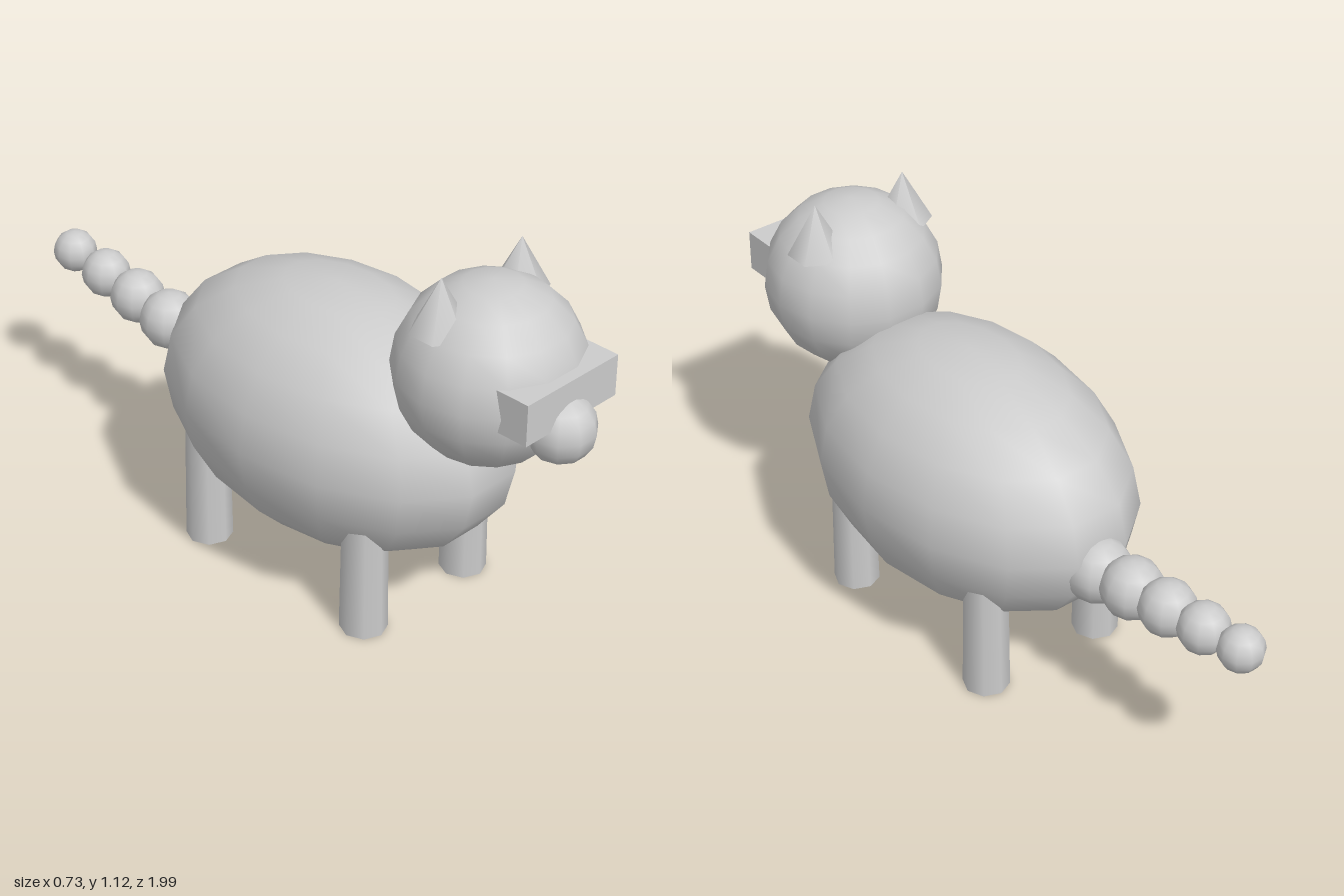
import * as THREE from 'three';

const material = new THREE.MeshStandardMaterial({ color: 0xcccccc });

export function createModel() {
  const model = new THREE.Group();
  model.name = 'cat';

  const add = (name, geometry, x, y, z) => {
    const mesh = new THREE.Mesh(geometry, material);
    mesh.name = name;
    mesh.position.set(x, y, z);
    model.add(mesh);
    return mesh;
  };

  // Egg-shaped body, stretched along z
  add('body', new THREE.SphereGeometry(0.367, 14, 10), 0, 0.488, 0.147).scale.z = 1.553;

  // Head with nose and eye band
  add('head', new THREE.SphereGeometry(0.252, 14, 10), 0, 0.828, 0.672);
  add('nose', new THREE.SphereGeometry(0.094, 10, 8), 0, 0.757, 0.907);
  add('eyeBand', new THREE.BoxGeometry(0.334, 0.117, 0.14), 0, 0.848, 0.868);

  // Mirrored ears and legs
  for (const [side, s] of [['left', 1], ['right', -1]]) {
    add(side + 'Ear', new THREE.ConeGeometry(0.081, 0.148, 6), s * 0.147, 1.051, 0.632);
    for (const [end, z] of [['Front', 0.437], ['Back', -0.163]]) {
      add(side + end + 'Leg', new THREE.CylinderGeometry(0.06, 0.0655, 0.42, 8), s * 0.195, 0.21, z);
    }
  }

  // Tail of shrinking balls, rising slightly towards the tip
  for (let i = 0; i < 5; i++) {
    const radius = 0.095 - i * 0.0079;
    add('tailBall' + (i + 1), new THREE.SphereGeometry(radius, 10, 8),
      0, 0.437 + i * 0.0203, -0.392 - i * 0.136);
  }

  return model;
}
